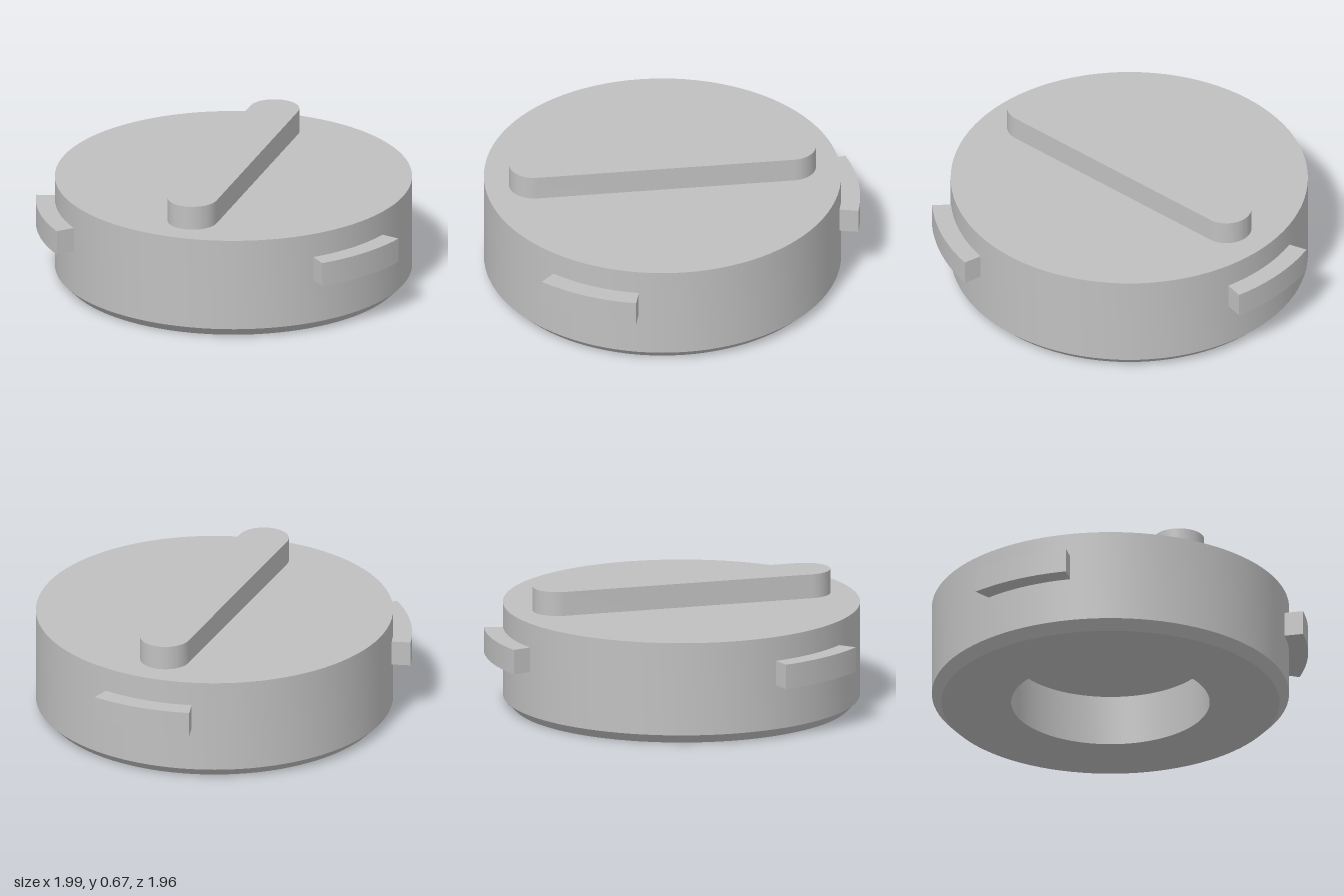
import * as THREE from 'three';
import { toCreasedNormals } from 'three/addons/utils/BufferGeometryUtils.js';

const CREASE = Math.PI / 6;

// Extrudes a plan shape upward from height y
function slab(shape, y, height) {
  const geo = new THREE.ExtrudeGeometry(shape, { depth: height, bevelEnabled: false, curveSegments: 24 });
  geo.rotateX(-Math.PI / 2);
  geo.translate(0, y, 0);
  return toCreasedNormals(geo, CREASE);
}

export function createModel() {
  const grey = new THREE.MeshStandardMaterial({ color: 0xc0c0c0 });
  grey.name = 'plain grey';

  const cap = new THREE.Group();
  cap.name = 'bayonetCap';
  cap.position.z = 0.047;

  const add = (name, geo) => {
    const mesh = new THREE.Mesh(geo, grey);
    mesh.name = name;
    cap.add(mesh);
  };

  // Round body with chamfered lower edge and a blind recess underneath
  const profile = [
    [0, 0.272], [0.518, 0.272], [0.518, 0], [0.882, 0],
    [0.932, 0.05], [0.932, 0.545], [0, 0.545],
  ].map(([r, y]) => new THREE.Vector2(r, y));
  add('body', toCreasedNormals(new THREE.LatheGeometry(profile, 96), CREASE));

  // Rounded grip bar across the top
  const r = 0.131;
  const half = 0.806 - r;
  const bar = new THREE.Shape();
  bar.absarc(0, half, r, 0, Math.PI, false);
  bar.absarc(0, -half, r, Math.PI, Math.PI * 2, false);
  bar.closePath();
  add('gripBar', slab(bar, 0.54, 0.133));

  // Three curved locking tabs, evenly spaced, one at the back
  const spread = Math.PI / 12;
  for (let i = 0; i < 3; i++) {
    const mid = Math.PI / 2 + (i * Math.PI * 2) / 3;
    const tab = new THREE.Shape();
    tab.absarc(0, 0, 1.031, mid - spread, mid + spread, false);
    tab.absarc(0, 0, 0.9, mid + spread, mid - spread, true);
    tab.closePath();
    add('lockingTab' + (i + 1), slab(tab, 0.285, 0.131));
  }

  const model = new THREE.Group();
  model.name = 'model';
  model.add(cap);
  return model;
}
